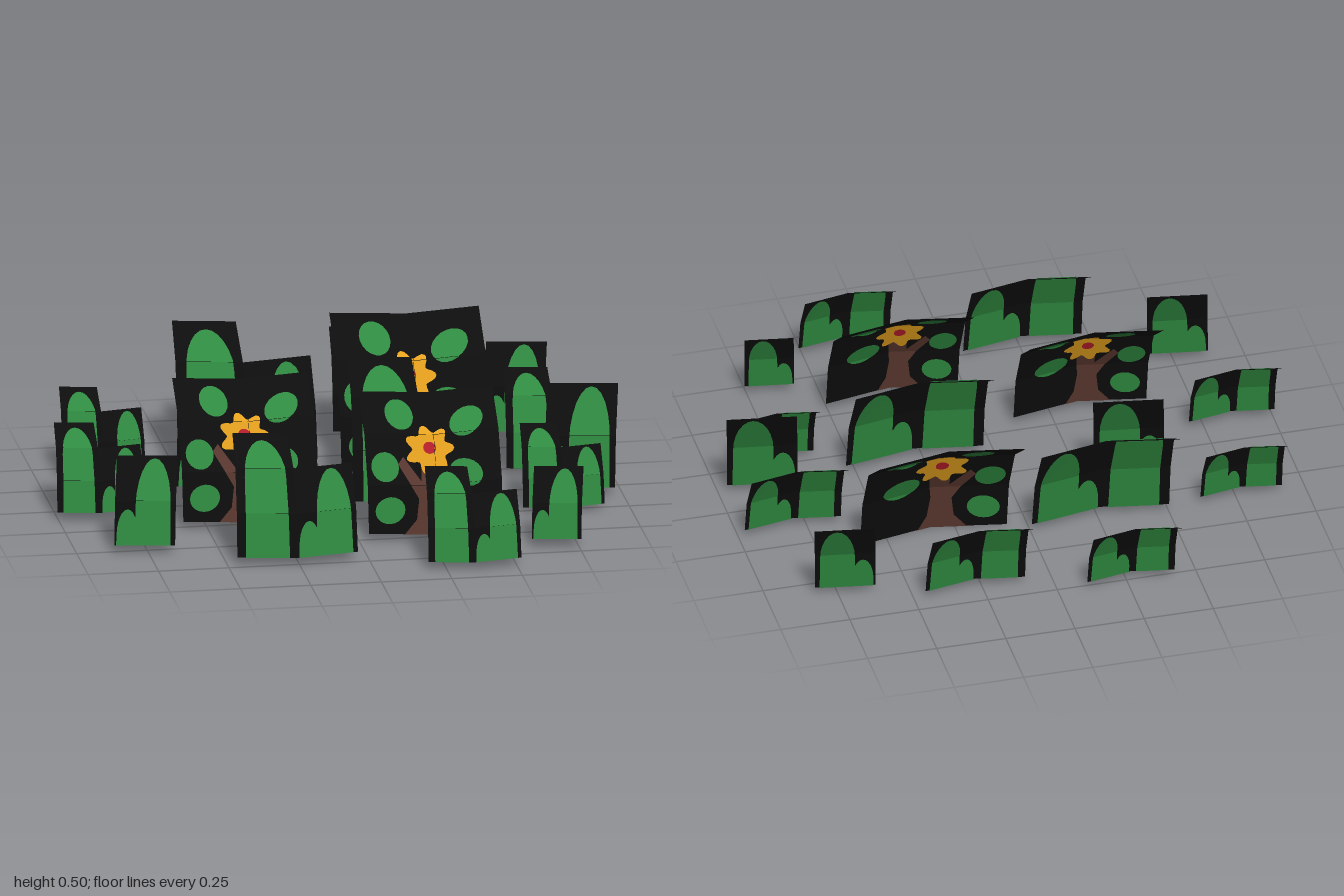
import * as THREE from 'three';

const mat = (name, color) => {
  const m = new THREE.MeshStandardMaterial({ color, side: THREE.DoubleSide });
  m.name = name;
  return m;
};

// Shared bend of every card: [lean back, height] at each third of its length
const BEND = { flower: [[0, 0], [0.06, 0.36], [0.22, 0.7], [0.515, 0.94]],
  grass: [[0, 0], [0.06, 0.36], [0.21, 0.7], [0.53, 0.905]] };

function bend(profile, v) {
  const i = Math.min(2, Math.max(0, Math.floor(v * 3 + 1e-6))), t = v * 3 - i;
  const a = profile[i], b = profile[i + 1];
  return [a[0] + (b[0] - a[0]) * t, a[1] + (b[1] - a[1]) * t];
}

// Card surfaces: (u across, v along) to a point
const surfaces = {
  flower(u, v) {
    const [l, h] = bend(BEND.flower, v);
    return new THREE.Vector3(u, h, -0.19 * Math.abs(u) - l);
  },
  clump(u, v) {
    const [l, h] = bend(BEND.grass, v);
    return new THREE.Vector3(u * (1 - 0.17 * l), h, -0.18 * Math.abs(u) - l);
  },
  tuft(u, v) {
    const [l, h] = bend(BEND.grass, v);
    return new THREE.Vector3(u * 0.95 + 0.27 * l, h, 0.155 * u - l);
  },
};

// Flat facets of a card: [u0, u1, v0, v1]
const strip = (u0, u1, n) => Array.from({ length: n }, (_, i) => [u0, u1, i / 3, (i + 1) / 3]);
const facets = {
  flower: [...strip(-0.5, 0, 3), ...strip(0, 0.5, 3)],
  clump: [...strip(-0.485, 0, 3), ...strip(0, 0.515, 2)],
  tuft: strip(0, 0.515, 2),
};

// Cut a polygon by one line: keeps sign * p[axis] <= sign * limit
function cut(poly, axis, limit, sign) {
  const out = [];
  poly.forEach((p, i) => {
    const q = poly[(i + 1) % poly.length];
    const dp = sign * (limit - p[axis]), dq = sign * (limit - q[axis]);
    if (dp >= 0) out.push(p);
    if (dp * dq < 0) out.push([0, 1].map((k) => p[k] + ((q[k] - p[k]) * dp) / (dp - dq)));
  });
  return out;
}

// Lay polygons on a card, lifted off both faces by `lift`
function lay(kind, polys, lift) {
  const pos = [], at = surfaces[kind];
  for (const [u0, u1, v0, v1] of facets[kind]) {
    const um = (u0 + u1) / 2, vm = (v0 + v1) / 2, o = at(um, vm);
    const n = at(um + 0.01, vm).sub(o).cross(at(um, vm + 0.01).sub(o)).normalize();
    // Interior limits keep each point on its own facet
    const e = 1e-7;
    const put = (p, side) => {
      const w = at(p[0], Math.min(v1 - e, Math.max(v0, p[1]))).addScaledVector(n, side * lift);
      pos.push(w.x, w.y, w.z);
    };
    for (const poly of polys) {
      let c = cut(cut(poly, 0, u0, -1), 0, u1, 1);
      c = cut(cut(c, 1, v0, -1), 1, v1, 1);
      if (c.length < 3) continue;
      const pts = c.map((p) => new THREE.Vector2(p[0], p[1]));
      if (THREE.ShapeUtils.isClockWise(pts)) { pts.reverse(); c.reverse(); }
      for (const f of THREE.ShapeUtils.triangulateShape(pts, [])) {
        f.forEach((k) => put(c[k], 1));
        if (lift) [...f].reverse().forEach((k) => put(c[k], -1));
      }
    }
  }
  const g = new THREE.BufferGeometry();
  g.setAttribute('position', new THREE.Float32BufferAttribute(pos, 3));
  g.computeVertexNormals();
  return g;
}

// Outline helpers
const ring = (n, f) => Array.from({ length: n }, (_, i) => f((i / n) * Math.PI * 2));
const oval = (u, v, ru, rv, turn = 0) => ring(20, (t) => {
  const x = Math.cos(t) * ru, y = Math.sin(t) * rv;
  return [u + x * Math.cos(turn) - y * Math.sin(turn), v + x * Math.sin(turn) + y * Math.cos(turn)];
});
const blade = (a, b, shoulder, top) => {
  const pts = [[a, 0], [b, 0]];
  for (let i = 0; i <= 12; i++) {
    const t = (i / 12) * Math.PI;
    pts.push([(a + b) / 2 + ((b - a) / 2) * 0.97 * Math.cos(t), shoulder + (top - shoulder) * Math.sin(t)]);
  }
  return pts;
};

export function createModel() {
  const black = mat('black card', 0x0d0d0d), green = mat('leaf green', 0x2f8a40);
  const brown = mat('stem brown', 0x5a382f), gold = mat('petal gold', 0xe5a01e);
  const red = mat('centre red', 0xb81e2c);

  const sheet = [[[-1, 0], [1, 0], [1, 1], [-1, 1]]];
  const shortBlades = [blade(0.015, 0.2, 0.08, 0.27), blade(0.17, 0.475, 0.3, 0.645)];
  const leaves = [
    oval(-0.34, 0.16, 0.11, 0.09, 0.3), oval(-0.365, 0.45, 0.1, 0.1, 0.2),
    oval(-0.23, 0.82, 0.1, 0.12, 0.2), oval(0.26, 0.75, 0.14, 0.1, 0.5),
    oval(0.23, 0.4, 0.13, 0.09, -0.3),
  ];
  const stem = [[-0.24, 0], [0.09, 0], [0.03, 0.1], [0.01, 0.25], [0.04, 0.5], [-0.1, 0.5],
    [-0.11, 0.36], [-0.23, 0.52], [-0.27, 0.47], [-0.13, 0.24], [-0.15, 0.1]];
  const petals = ring(56, (t) => {
    const r = 0.155 + 0.03 * Math.cos(7 * t);
    return [-0.035 + r * Math.cos(t), 0.57 + r * 0.9 * Math.sin(t)];
  });

  // Painted layers of each plant: [name, material, outlines, lift]
  const plants = {
    flower: [
      ['card', black, sheet, 0], ['stem', brown, [stem], 0.004], ['leaves', green, leaves, 0.006],
      ['petals', gold, [petals], 0.008], ['flowerCentre', red, [oval(-0.035, 0.58, 0.045, 0.04)], 0.01],
    ],
    clump: [['card', black, sheet, 0],
      ['blades', green, [blade(-0.415, -0.06, 0.6, 0.93), ...shortBlades], 0.005]],
    tuft: [['card', black, sheet, 0], ['blades', green, shortBlades, 0.005]],
  };

  // Places: [x, z, size, base height]
  const places = {
    flower: [[0.335, -0.26, 0.53, 0], [-0.347, 0.33, 0.48], [0.27, 0.575, 0.476]],
    clump: [[-0.265, -0.745, 0.316], [0.275, -0.655, 0.36], [-0.77, -0.33, 0.295],
      [-0.26, -0.33, 0.497], [0.8, -0.13, 0.348], [0.28, 0.185, 0.497], [-0.855, 0.135, 0.31],
      [0.76, 0.3, 0.29, 0.02], [-0.26, 0.77, 0.428], [0.345, 0.92, 0.33]],
    tuft: [[0.62, -0.605, 0.43], [-0.545, -0.13, 0.5], [0.725, 0.085, 0.5],
      [-0.87, 0.52, 0.43], [0.585, 0.68, 0.35]],
  };

  const model = new THREE.Group();
  model.name = 'flowerBed';
  for (const kind of Object.keys(plants)) {
    const layers = plants[kind].map(([name, m, polys, lift]) => [name, m, lay(kind, polys, lift)]);
    places[kind].forEach(([x, z, size, y = 0.03], i) => {
      const plant = new THREE.Group();
      plant.name = `${kind}${i + 1}`;
      for (const [name, m, geo] of layers) {
        const mesh = new THREE.Mesh(geo, m);
        mesh.name = name;
        plant.add(mesh);
      }
      plant.position.set(x, y, z);
      plant.scale.setScalar(size);
      model.add(plant);
    });
  }
  return model;
}
